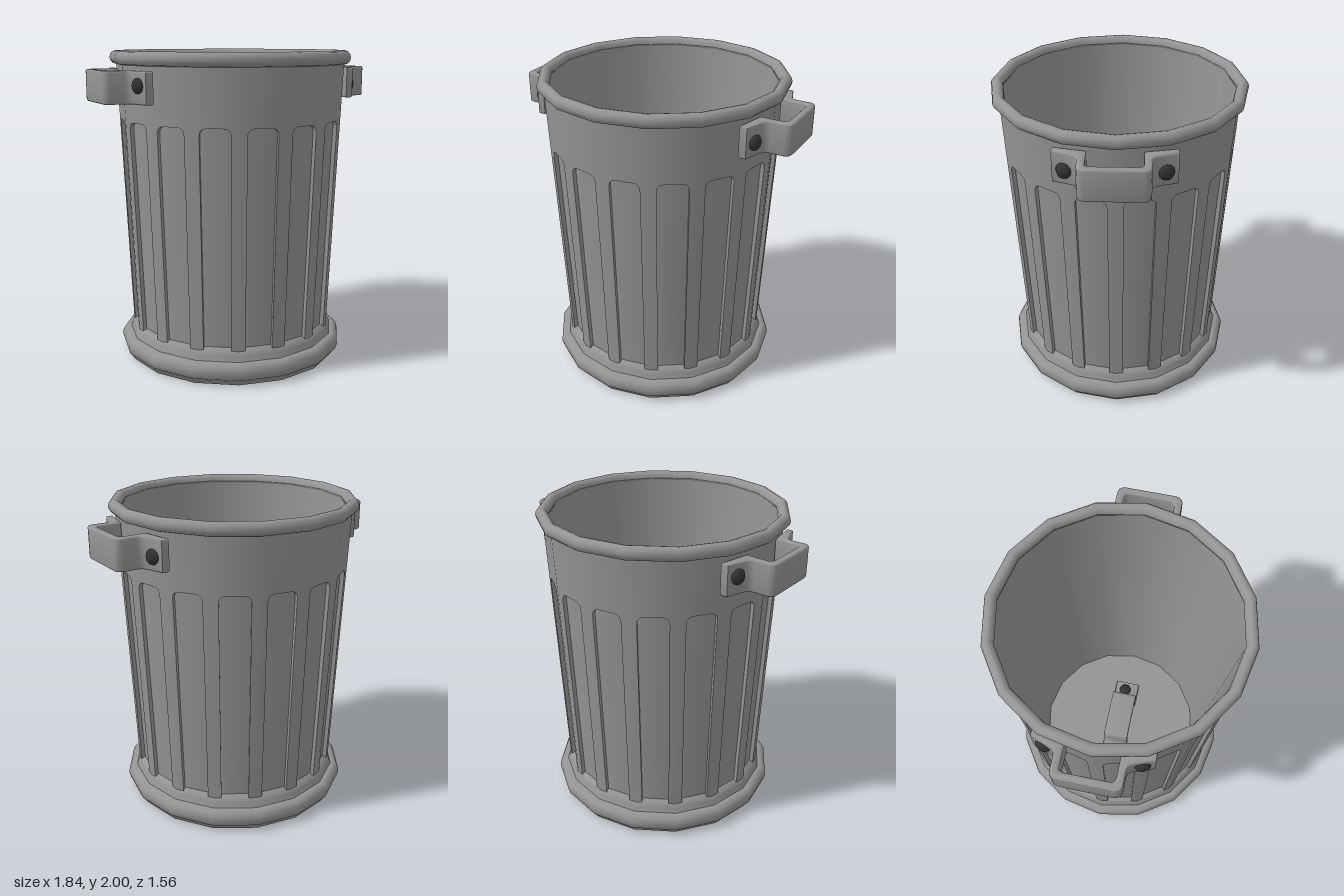
import * as THREE from 'three';
import { toCreasedNormals } from 'three/addons/utils/BufferGeometryUtils.js';

const SIDES = 16;
const STEP = (Math.PI * 2) / SIDES;
const grey = new THREE.MeshStandardMaterial({ color: 0x949494 });
const dark = new THREE.MeshStandardMaterial({ color: 0x333333 });

// Corner radius of the tapered wall at height y
const wallRadius = (y) => 0.668 + ((y - 0.2) / 1.75) * 0.072;

function add(parent, name, geometry, material = grey) {
  const mesh = new THREE.Mesh(geometry, material);
  mesh.name = name;
  parent.add(mesh);
  return mesh;
}

// Turned part: a profile running upwards faces outwards
function turned(parent, name, points) {
  const profile = points.map(([r, y]) => new THREE.Vector2(r, y));
  return add(parent, name, new THREE.LatheGeometry(profile, SIDES));
}

// One wall facet arching over a recess, drawn in (share of half width, height)
function wallFacet() {
  const low = 0.2, high = 1.95, w = 0.66, top = 1.57, ru = 0.32, ry = 0.045;
  const shape = new THREE.Shape();
  shape.moveTo(1, low).lineTo(1, high).lineTo(-1, high).lineTo(-1, low).lineTo(-w, low);
  shape.lineTo(-w, top - ry);
  shape.quadraticCurveTo(-w, top, -w + ru, top);
  shape.lineTo(w - ru, top);
  shape.quadraticCurveTo(w, top, w, top - ry);
  shape.lineTo(w, low).closePath();

  const depth = 0.028;
  const geo = new THREE.ExtrudeGeometry(shape, { depth, bevelEnabled: false, curveSegments: 5 });
  const pos = geo.attributes.position;
  for (let i = 0; i < pos.count; i++) {
    const r = wallRadius(pos.getY(i));
    pos.setX(i, pos.getX(i) * r * Math.sin(STEP / 2));
    pos.setZ(i, r * Math.cos(STEP / 2) - depth + pos.getZ(i));
  }
  geo.computeVertexNormals();
  // Radial normals let the outer faces shade as one round wall
  const normal = geo.attributes.normal;
  const n = new THREE.Vector3();
  for (let i = 0; i < pos.count; i++) {
    if (normal.getZ(i) < 0.9) continue;
    n.set(pos.getX(i), -0.03, pos.getZ(i)).normalize();
    normal.setXYZ(i, n.x, n.y, n.z);
  }
  return geo;
}

// Riveted strap handle: +x points away from the wall, the strap runs along z
function makeHandle(name, lean) {
  const handle = new THREE.Group();
  handle.name = name;
  const outer = [[0.19, 0.155], [0.184, 0.178], [0.172, 0.193], [0.15, 0.2], [0.065, 0.2],
    [0.042, 0.207], [0.025, 0.23], [0.025 - lean, 0.345]];
  const inner = [[-0.02 - lean, 0.345], [-0.02, 0.155], [0.12, 0.155], [0.137, 0.148], [0.145, 0.13]];
  const half = [...outer, ...inner];
  const mirrored = half.map(([x, z]) => [x, -z]).reverse();
  const outline = [...half, ...mirrored].map(([x, z]) => new THREE.Vector2(x, z));
  const bevel = 0.011, height = 0.195;
  const geo = new THREE.ExtrudeGeometry(new THREE.Shape(outline), {
    depth: height - 2 * bevel, bevelSize: bevel, bevelThickness: bevel,
    bevelOffset: -bevel, bevelSegments: 3,
  });
  geo.translate(0, 0, bevel - height / 2).rotateX(Math.PI / 2);
  add(handle, 'strap', toCreasedNormals(geo, 0.9));

  for (const side of [-1, 1]) {
    const rivet = add(handle, 'rivet', new THREE.SphereGeometry(0.047, 8, 6), dark);
    rivet.scale.x = 0.6;
    rivet.position.set(0.027 - lean * 0.45, -0.012, side * 0.278);
    rivet.rotation.y = -side * Math.atan2(lean, 0.115);
  }
  return handle;
}

export function createModel() {
  const can = new THREE.Group();
  can.name = 'trashCan';

  // Fluted wall and the recessed surface behind it
  const wall = new THREE.Group();
  wall.name = 'wall';
  can.add(wall);
  const facet = wallFacet();
  for (let i = 0; i < SIDES; i++) {
    add(wall, 'wallFacet', facet).rotation.y = (i + 0.5) * STEP;
  }
  turned(can, 'recessedWall', [0.16, 1.6].map((y) => [wallRadius(y) - 0.027, y]));

  // Rolled foot, flare above it and underside
  turned(can, 'footEdge', [[0.705, 0], [0.728, 0.036]]);
  turned(can, 'footRing', [[0.722, 0.034], [0.738, 0.043], [0.748, 0.075], [0.745, 0.105],
    [0.732, 0.128], [0.71, 0.14], [0.67, 0.142]]);
  turned(can, 'footFlare', [[0.69, 0.138], [0.676, 0.17], [0.668, 0.203], [0.63, 0.222]]);
  const underside = new THREE.CircleGeometry(0.705, SIDES).rotateX(Math.PI / 2);
  add(can, 'underside', underside);

  // Rolled rim
  const rim = [];
  for (let i = 0; i <= 12; i++) {
    const a = (i / 12) * Math.PI * 2 - Math.PI;
    rim.push([0.743 + 0.037 * Math.cos(a), 1.958 + 0.042 * Math.sin(a)]);
  }
  turned(can, 'rim', rim);

  // Inside
  turned(can, 'innerWall', [[0.71, 1.96], [0.56, 0.1]]);
  const floor = new THREE.CircleGeometry(0.56, SIDES).rotateX(-Math.PI / 2);
  add(can, 'floor', floor).position.y = 0.1;

  // Side handles, the right one being the left one turned half round
  for (const side of [1, -1]) {
    const handle = makeHandle(side > 0 ? 'leftHandle' : 'rightHandle', 0.04);
    handle.position.set(side * 0.73, 1.792, 0);
    if (side < 0) handle.rotation.z = Math.PI;
    can.add(handle);
  }

  // Handle lying on the floor inside
  const inside = makeHandle('floorHandle', 0);
  inside.setRotationFromMatrix(new THREE.Matrix4().makeBasis(
    new THREE.Vector3(0, 1, 0), new THREE.Vector3(0, 0, 1), new THREE.Vector3(1, 0, 0)));
  inside.scale.setScalar(0.91);
  inside.position.set(-0.003, 0.11, 0);
  can.add(inside);

  return can;
}
